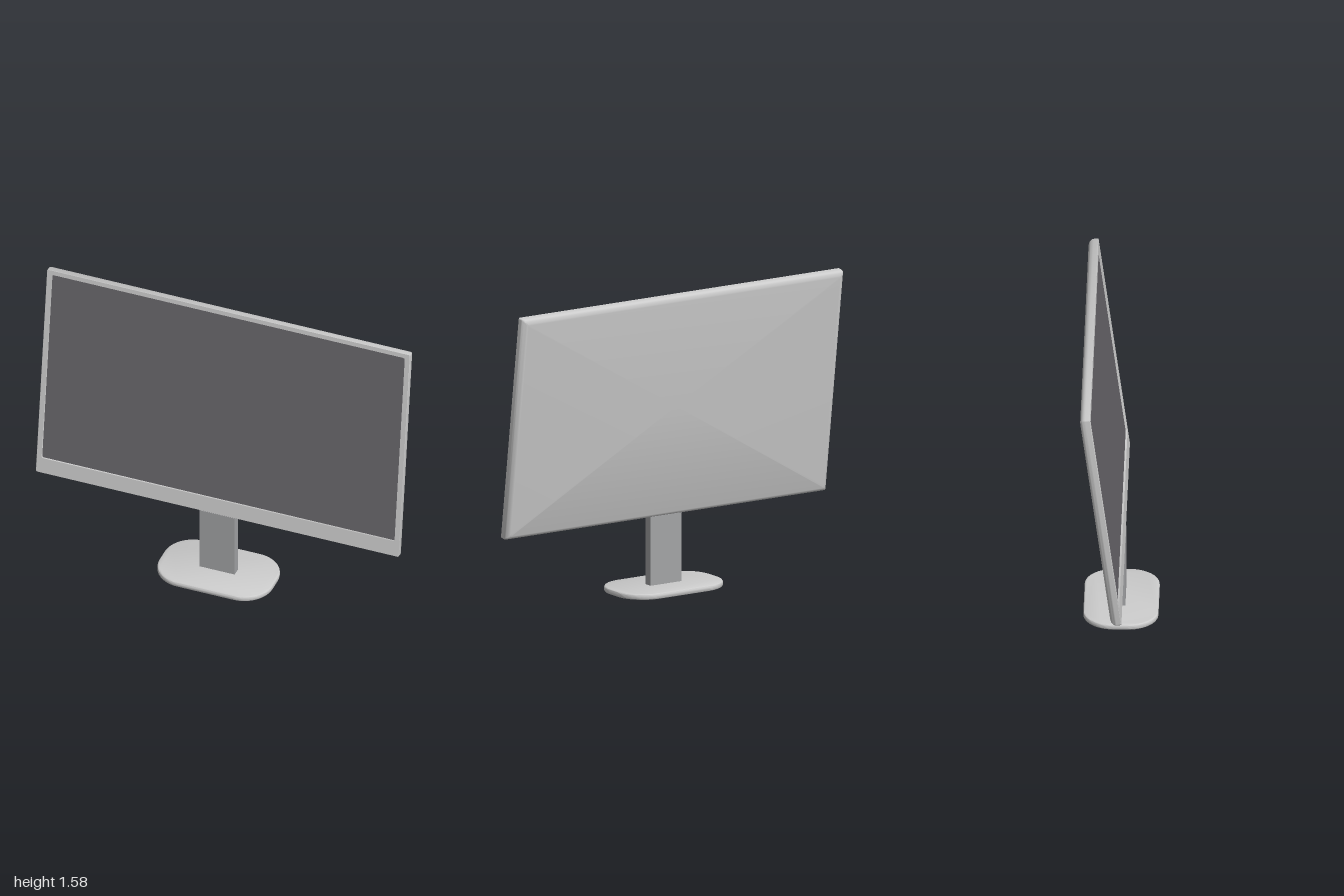
import * as THREE from 'three';
import { toCreasedNormals } from 'three/addons/utils/BufferGeometryUtils.js';

const YAW = -0.197, TILT = -0.135;
const W = 2.0, H = 1.203, DEPTH = 0.055, FILLET = 0.03;

// Rounded rectangle as a counter-clockwise list of [x, y]
function roundedRect(x0, x1, y0, y1, r, steps = 5) {
  const points = [];
  const corners = [[x1 - r, y1 - r], [x0 + r, y1 - r], [x0 + r, y0 + r], [x1 - r, y0 + r]];
  corners.forEach(([cx, cy], k) => {
    for (let i = 0; i <= steps; i++) {
      const a = (k + i / steps) * Math.PI / 2;
      points.push([cx + r * Math.cos(a), cy + r * Math.sin(a)]);
    }
  });
  return points;
}

const toShape = (points) => new THREE.Shape(points.map(([x, y]) => new THREE.Vector2(x, y)));

// Skin a row of rings ({ points, z }) and close the last one with a flat cap
function loft(rings, capCentre) {
  const n = rings[0].points.length;
  const positions = rings.flatMap(({ points, z }) => points.flatMap(([x, y]) => [x, y, z]));
  positions.push(...capCentre);
  const index = [];
  rings.forEach((ring, k) => {
    for (let i = 0; i < n; i++) {
      const j = (i + 1) % n, a = k * n, b = a + n;
      if (k < rings.length - 1) index.push(a + i, b + i, b + j, a + i, b + j, a + j);
      else index.push(a + i, rings.length * n, a + j);
    }
  });
  const geometry = new THREE.BufferGeometry();
  geometry.setAttribute('position', new THREE.Float32BufferAttribute(positions, 3));
  geometry.setIndex(index);
  return toCreasedNormals(geometry, 0.6);
}

function mesh(name, geometry, color = 0xcccccc) {
  const m = new THREE.Mesh(geometry, new THREE.MeshStandardMaterial({ color }));
  m.name = name;
  return m;
}

function createDisplay() {
  const display = new THREE.Group();
  display.name = 'display';
  const opening = roundedRect(-W / 2 + 0.028, W / 2 - 0.028, 0.088, H - 0.026, 0.01);
  const outer = (inset) => roundedRect(-W / 2 + inset, W / 2 - inset, inset, H - inset, 0.008);

  // Recess wall, bezel and sides, then the rounded rear edge
  const rings = [
    { points: opening, z: -0.01 },
    { points: opening, z: 0 },
    { points: outer(0.002), z: 0 },
    { points: outer(0), z: -0.002 },
  ];
  for (let i = 0; i <= 6; i++) {
    const a = (i / 6) * Math.PI / 2;
    rings.push({
      points: outer(FILLET * (1 - Math.cos(a))),
      z: -DEPTH + FILLET * (1 - Math.sin(a)),
    });
  }
  display.add(mesh('housing', loft(rings, [0, H / 2, -DEPTH])));

  const screen = mesh('screen', new THREE.ShapeGeometry(toShape(opening)), 0x676569);
  screen.position.z = -0.01;
  display.add(screen);

  // Turned with the stand and leaning back
  display.rotation.set(TILT, YAW, 0, 'YXZ');
  display.position.set(-0.02, 0.392, 0.102);
  return display;
}

function createStand() {
  const stand = new THREE.Group();
  stand.name = 'stand';

  // Flat foot with softened rim
  const bevel = 0.009, w = 0.312 - bevel, d = 0.193 - bevel;
  const footGeometry = new THREE.ExtrudeGeometry(toShape(roundedRect(-w, w, -d, d, 0.157 - bevel, 12)), {
    depth: 0.03 - 2 * bevel, bevelThickness: bevel, bevelSize: bevel, bevelSegments: 4,
  });
  footGeometry.rotateX(-Math.PI / 2).translate(0, bevel, 0);
  stand.add(mesh('foot', toCreasedNormals(footGeometry, 0.6)));

  // Upright column reaching the underside of the display
  const column = mesh('column', new THREE.BoxGeometry(0.194, 0.367, 0.046), 0xa3a4a6);
  column.position.set(0, 0.2085, -0.001);
  stand.add(column);

  stand.rotation.y = YAW;
  stand.position.set(-0.016, 0, 0.081);
  return stand;
}

export function createModel() {
  const model = new THREE.Group();
  model.name = 'monitor';
  model.add(createDisplay(), createStand());
  return model;
}
